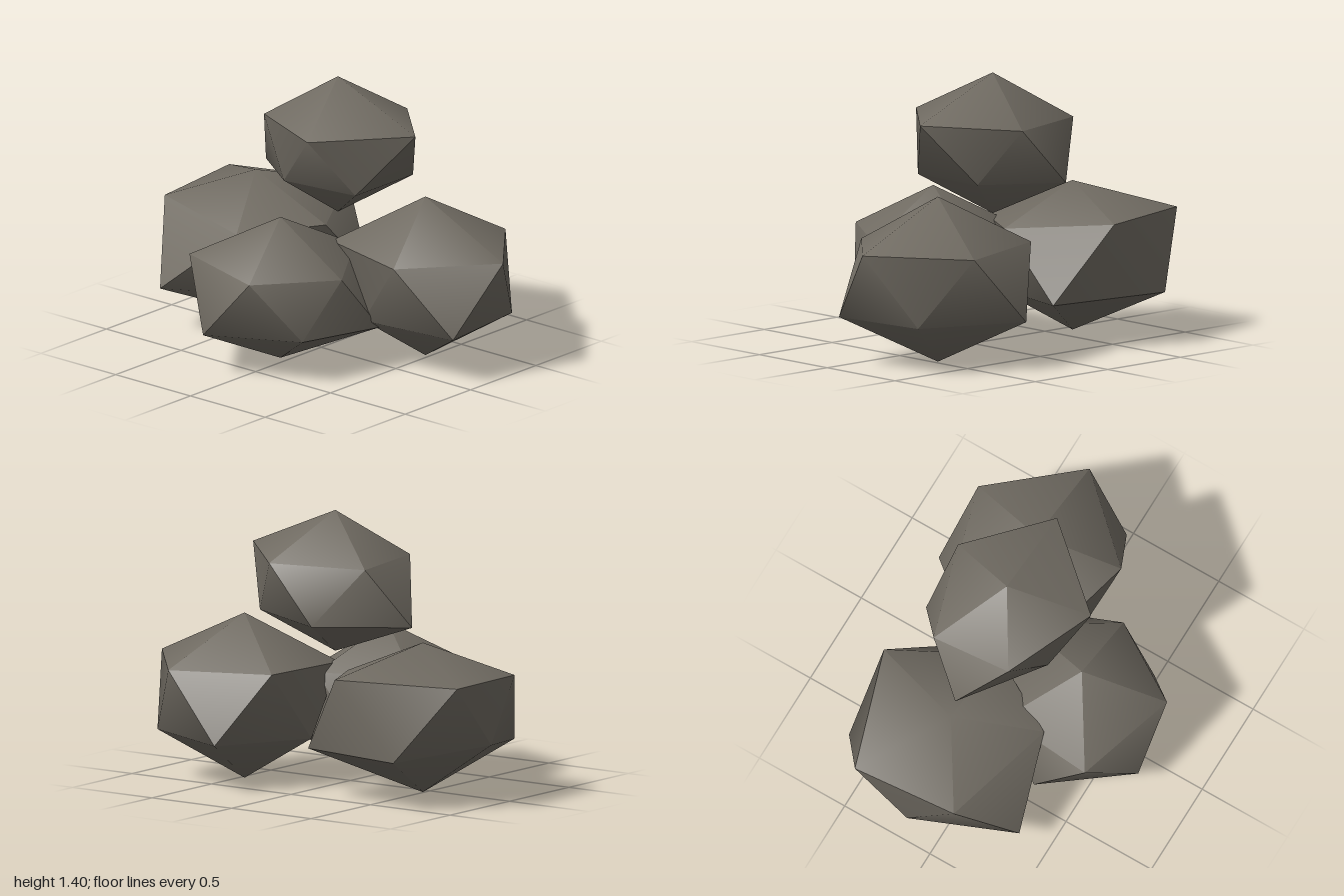
import * as THREE from 'three';
import { toCreasedNormals } from 'three/addons/utils/BufferGeometryUtils.js';

// Each boulder is an irregular 12-point stone: a top, two staggered rings of five
// and a bottom. Ring points are [x, z, y] with x and z measured from the axis.
const boulders = [
  {
    name: 'frontBoulder', axis: [-0.01, 0.30], top: 0.775, bottom: 0.025,
    upper: [[0.41, 0, 0.53], [0.15, 0.41, 0.55], [-0.39, 0.25, 0.555], [-0.35, -0.25, 0.56], [0.14, -0.41, 0.56]],
    lower: [[0.34, 0.22, 0.24], [-0.15, 0.42, 0.22], [-0.47, 0, 0.22], [-0.13, -0.41, 0.23], [0.42, -0.28, 0.21]],
  },
  {
    name: 'rightwardBoulder', axis: [0.475, -0.255], top: 0.85, bottom: 0.005,
    upper: [[0.52, 0, 0.61], [0.145, 0.41, 0.6], [-0.385, 0.28, 0.6], [-0.38, -0.28, 0.61], [0.155, -0.435, 0.6]],
    lower: [[0.425, 0.275, 0.25], [-0.117, 0.338, 0.25], [-0.42, 0, 0.25], [-0.165, -0.475, 0.25], [0.365, -0.245, 0.25]],
  },
  {
    name: 'leftwardBoulder', axis: [-0.56, -0.14], top: 0.79, bottom: 0.025,
    upper: [[0.47, 0, 0.6], [0.23, 0.41, 0.6], [-0.39, 0.25, 0.63], [-0.44, -0.30, 0.64], [0.18, -0.5, 0.65]],
    lower: [[0.32, 0.23, 0.25], [-0.19, 0.515, 0.245], [-0.43, 0, 0.31], [-0.18, -0.49, 0.26], [0.46, -0.35, 0.25]],
  },
  {
    name: 'topBoulder', axis: [-0.01, -0.14], top: 1.41, bottom: 0.69,
    upper: [[0.51, -0.01, 1.2], [0.15, 0.405, 1.195], [-0.32, 0.2, 1.19], [-0.35, -0.22, 1.17], [0.14, -0.37, 1.175]],
    lower: [[0.31, 0.22, 0.9], [-0.1, 0.3, 0.91], [-0.49, -0.01, 0.86], [-0.14, -0.39, 0.88], [0.31, -0.22, 0.9]],
  },
];

// Fan the caps and zigzag the band between the two rings
function boulderGeometry({ axis, top, bottom, upper, lower }) {
  const ring = (points) => points.map(([x, z, y]) => [axis[0] + x, y, axis[1] + z]);
  const points = [
    [axis[0], top, axis[1]], ...ring(upper), ...ring(lower), [axis[0], bottom, axis[1]],
  ];
  const index = [];
  for (let i = 0; i < 5; i++) {
    const j = (i + 1) % 5;
    const u = 1 + i, uNext = 1 + j, l = 6 + i, lNext = 6 + j;
    index.push(0, uNext, u, u, uNext, l, l, uNext, lNext, 11, l, lNext);
  }
  const geometry = new THREE.BufferGeometry();
  geometry.setAttribute('position', new THREE.Float32BufferAttribute(points.flat(), 3));
  geometry.setIndex(index);
  // Gentle facets blend, steep ones stay sharp
  return toCreasedNormals(geometry, THREE.MathUtils.degToRad(48));
}

export function createModel() {
  const group = new THREE.Group();
  group.name = 'boulderPile';
  const stone = new THREE.MeshStandardMaterial({ color: 0x706b62 });
  stone.name = 'warm grey stone';

  for (const boulder of boulders) {
    const mesh = new THREE.Mesh(boulderGeometry(boulder), stone);
    mesh.name = boulder.name;
    group.add(mesh);
  }
  return group;
}
